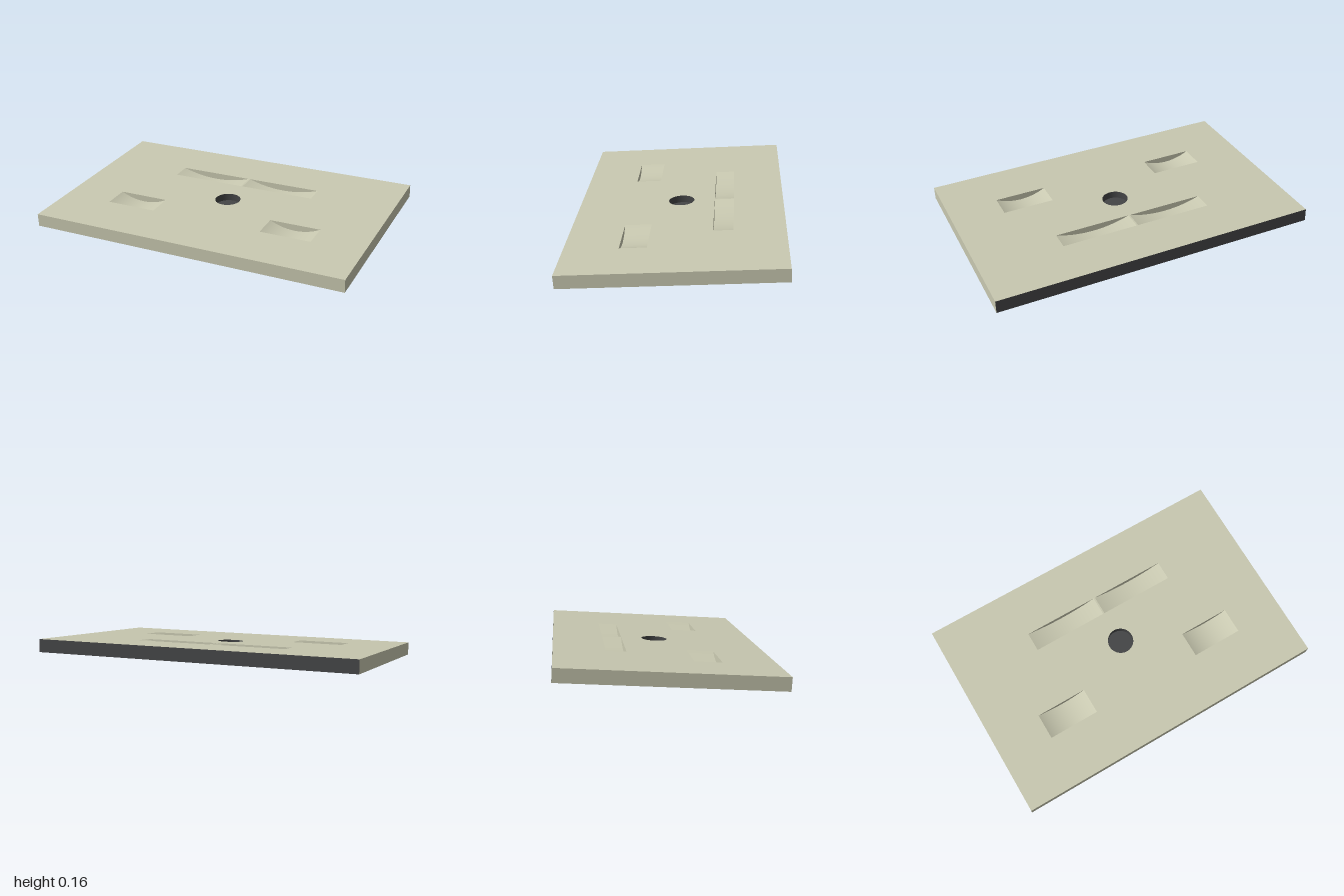
import * as THREE from 'three';

const W = 2, D = 1.278, T = 0.08, TILT = 0.0625;
const HOLE_R = 0.08, HOLE_DEPTH = 0.045, HOLE_Z = -0.0025;
const TOP = T / 2;

// Scooped slots in the top: centre x, centre z, length, width, depth
const SLOTS = [
  [-0.2425, -0.272, 0.475, 0.12, 0.04],
  [0.2425, -0.272, 0.475, 0.12, 0.04],
  [-0.52, 0.237, 0.32, 0.16, 0.04],
  [0.52, 0.237, 0.32, 0.16, 0.04],
];

export function createModel() {
  const model = new THREE.Group();
  model.name = 'wedgePlate';
  const plate = new THREE.Group();
  plate.name = 'tiltedPlate';
  plate.rotation.x = TILT;
  plate.position.y = 0.08;
  model.add(plate);

  const sand = new THREE.MeshStandardMaterial({ color: 0xc8c8b0 });
  const sandInner = new THREE.MeshStandardMaterial({ color: 0xc8c8b0, side: THREE.DoubleSide });
  const dark = new THREE.MeshStandardMaterial({ color: 0x444546 });
  const darkInner = new THREE.MeshStandardMaterial({ color: 0x444546, side: THREE.DoubleSide });

  const add = (name, geometry, material, x = 0, y = 0, z = 0, parent = plate) => {
    const mesh = new THREE.Mesh(geometry, material);
    mesh.name = name;
    mesh.position.set(x, y, z);
    parent.add(mesh);
    return mesh;
  };

  // Top skin with openings for the slots and the round pocket
  const rect = (Type, cx, cy, w, h) => {
    const s = new Type();
    s.moveTo(cx - w / 2, cy - h / 2);
    s.lineTo(cx + w / 2, cy - h / 2);
    s.lineTo(cx + w / 2, cy + h / 2);
    s.lineTo(cx - w / 2, cy + h / 2);
    s.closePath();
    return s;
  };
  const topShape = rect(THREE.Shape, 0, 0, W, D);
  for (const [x, z, len, wid] of SLOTS) topShape.holes.push(rect(THREE.Path, x, -z, len, wid));
  const circle = new THREE.Path();
  circle.absarc(0, -HOLE_Z, HOLE_R, 0, Math.PI * 2);
  topShape.holes.push(circle);
  add('topFace', new THREE.ShapeGeometry(topShape, 24).rotateX(-Math.PI / 2), sand, 0, TOP, 0);

  // Edges and underside
  add('frontEdge', new THREE.PlaneGeometry(W, T), sand, 0, 0, D / 2);
  for (const s of [1, -1]) {
    add(s > 0 ? 'leftEdge' : 'rightEdge',
      new THREE.PlaneGeometry(D, T).rotateY(s * Math.PI / 2), sand, s * W / 2, 0, 0);
  }
  add('backEdge', new THREE.PlaneGeometry(W, T).rotateY(Math.PI), dark, 0, 0, -D / 2);
  add('underside', new THREE.PlaneGeometry(W, D).rotateX(Math.PI / 2), dark, 0, -T / 2, 0);

  // Scooped slots: a shallow arc floor closed by two flat segment walls
  SLOTS.forEach(([x, z, len, wid, depth], i) => {
    const slot = new THREE.Group();
    slot.name = 'slot' + (i + 1);
    slot.position.set(x, TOP, z);
    plate.add(slot);
    const r = (len * len / 4 + depth * depth) / (2 * depth);
    const a = Math.asin(len / 2 / r);
    const floor = new THREE.CylinderGeometry(r, r, wid, 24, 1, true, -a, 2 * a).rotateX(Math.PI / 2);
    add('slotFloor', floor, sandInner, 0, r - depth, 0, slot);
    const segment = new THREE.Shape();
    segment.absarc(0, r - depth, r, -Math.PI / 2 - a, -Math.PI / 2 + a);
    for (const s of [1, -1]) {
      add('slotWall', new THREE.ShapeGeometry(segment, 24), sandInner, 0, 0, s * wid / 2, slot);
    }
  });

  // Round blind pocket
  add('pocketWall', new THREE.CylinderGeometry(HOLE_R, HOLE_R, HOLE_DEPTH, 48, 1, true),
    darkInner, 0, TOP - HOLE_DEPTH / 2, HOLE_Z);
  add('pocketFloor', new THREE.CircleGeometry(HOLE_R, 48).rotateX(-Math.PI / 2),
    dark, 0, TOP - HOLE_DEPTH, HOLE_Z);

  return model;
}
